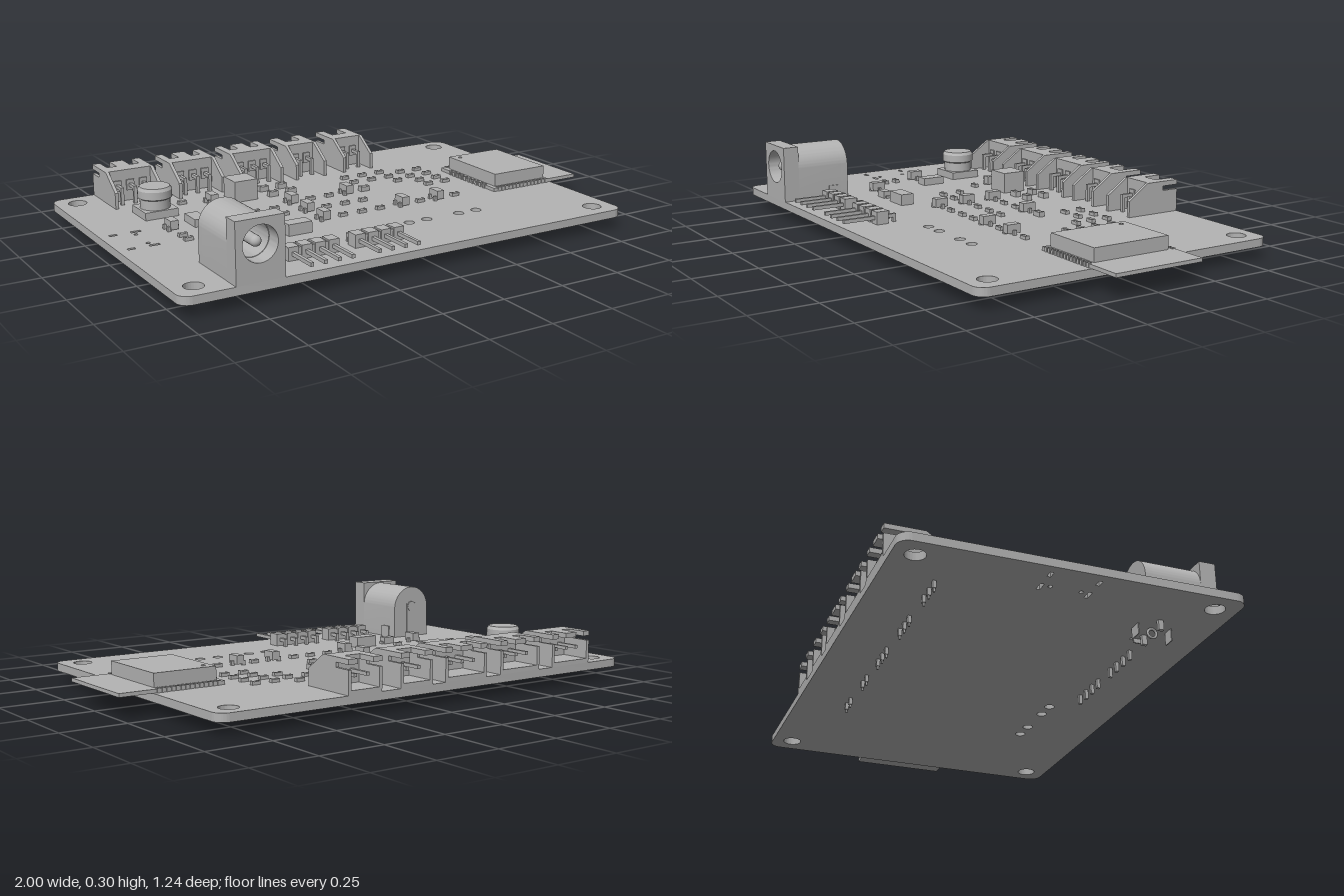
import * as THREE from 'three';
import { mergeGeometries, toCreasedNormals } from 'three/addons/utils/BufferGeometryUtils.js';

const gray = new THREE.MeshStandardMaterial({ color: 0xb3b3b3 });
gray.name = 'plain gray';
const TOP = 0.083; // upper face of the circuit board

// Box given by its minimum and maximum corners
function box(x0, x1, y0, y1, z0, z1) {
  return new THREE.BoxGeometry(x1 - x0, y1 - y0, z1 - z0)
    .translate((x0 + x1) / 2, (y0 + y1) / 2, (z0 + z1) / 2).toNonIndexed();
}
const onBoard = (x, z, w, d, h) => box(x - w / 2, x + w / 2, TOP, TOP + h, z - d / 2, z + d / 2);

function extrude(shape, depth) {
  return toCreasedNormals(new THREE.ExtrudeGeometry(shape, { depth, bevelEnabled: false, curveSegments: 24 }), 0.6);
}
// Outline in (x, z) made into a horizontal plate
const plate = (shape, y0, y1) => extrude(shape, y1 - y0).rotateX(Math.PI / 2).translate(0, y1, 0);
// Outline in (z, y) made into an upright wall
const wall = (shape, x0, x1) => extrude(shape, x1 - x0).rotateY(-Math.PI / 2).translate(x1, 0, 0);
const poly = pts => new THREE.Shape(pts.map(p => new THREE.Vector2(...p)));
const circle = (x, y, r) => new THREE.Path().absarc(x, y, r, 0, Math.PI * 2, true);
const slot = (x, z, w, d) => new THREE.Path([[-w, -d], [-w, d], [w, d], [w, -d]]
  .map(([a, b]) => new THREE.Vector2(x + a / 2, z + b / 2)));

function part(parent, name, geos) {
  const mesh = new THREE.Mesh(mergeGeometries(geos.map(g => (g.index ? g.toNonIndexed() : g))), gray);
  mesh.name = name;
  parent.add(mesh);
}

function circuitBoard(g) {
  const s = new THREE.Shape(), r = 0.045, x0 = -1, x1 = 0.87, z = 0.622;
  s.absarc(x1 - r, z - r, r, 0, Math.PI / 2);
  s.absarc(x0 + r, z - r, r, Math.PI / 2, Math.PI);
  s.absarc(x0 + r, r - z, r, Math.PI, Math.PI * 1.5);
  s.absarc(x1 - r, r - z, r, Math.PI * 1.5, Math.PI * 2);
  for (const x of [-0.917, 0.785]) for (const k of [-0.543, 0.537]) s.holes.push(circle(x, k, 0.036));
  for (const x of [0.06, 0.14, 0.288, 0.37]) s.holes.push(circle(x, 0.34, 0.02));
  for (const k of [-0.09, 0.085]) {
    s.holes.push(slot(-0.948, k, 0.03, 0.014), slot(-0.86, k, 0.04, 0.014));
  }
  for (const k of [-0.058, 0.055]) s.holes.push(circle(-0.872, k, 0.008));
  s.holes.push(slot(-0.613, 0.395, 0.012, 0.06));
  part(g, 'circuitBoard', [plate(s, 0.052, TOP)]);
}

// Side-entry socket, open to the rear, with bent pins
function socket(g, cx, n) {
  const w = n * 0.03 + 0.01 + (n === 2 ? 0.003 : 0), grp = new THREE.Group();
  grp.name = 'cableSocket';
  const side = poly([[-0.385, TOP], [-0.385, 0.147], [-0.475, 0.209], [-0.622, 0.209], [-0.622, 0.19],
    [-0.55, 0.19], [-0.55, 0.172], [-0.622, 0.172], [-0.622, TOP]]);
  // roof notched from its open edge
  const notches = n === 3 ? [-0.048, 0.048] : [0];
  const hw = n === 3 ? 0.02 : 0.034;
  const pts = [[w, -0.48], [-w, -0.48], [-w, -0.622]];
  for (const c of notches) pts.push([c - hw, -0.622], [c - hw, -0.545], [c + hw, -0.545], [c + hw, -0.622]);
  pts.push([w, -0.622]);
  part(grp, 'socketHousing', [
    wall(side, -w, -w + 0.013), wall(side, w - 0.013, w),
    plate(poly(pts), 0.19, 0.209),
    box(-w, w, TOP, 0.1, -0.622, -0.48),
    box(-w, w, TOP, 0.209, -0.505, -0.48),
  ]);
  const pins = [];
  for (let i = 0; i < n; i++) {
    const x = (i - (n - 1) / 2) * 0.054, p = 0.0065;
    pins.push(box(x - p, x + p, 0.14, 0.153, -0.6, -0.425), box(x - p, x + p, 0.025, 0.153, -0.438, -0.425),
      box(x - p / 2, x + p / 2, 0.012, 0.025, -0.435, -0.428),
      box(x - 0.016, x + 0.016, 0.125, 0.168, -0.48, -0.474));
  }
  part(grp, 'socketPins', pins);
  grp.position.x = cx;
  g.add(grp);
}

function pinHeader(g, cx) {
  const grp = new THREE.Group(), body = [], pins = [], p = 0.0065;
  grp.name = 'pinHeader';
  for (let i = 0; i < 4; i++) {
    const x = (i - 1.5) * 0.054;
    body.push(box(x - 0.021, x + 0.021, TOP, 0.133, 0.442, 0.492));
    pins.push(box(x - p, x + p, 0.101, 0.115, 0.402, 0.622), box(x - p, x + p, 0.015, 0.115, 0.402, 0.415));
  }
  body.push(box(-0.1, 0.1, 0.09, 0.127, 0.447, 0.487));
  part(grp, 'headerBody', body);
  part(grp, 'headerPins', pins);
  grp.position.x = cx;
  g.add(grp);
}

function powerJack(g) {
  const grp = new THREE.Group(), r = 0.092, cy = 0.21;
  grp.name = 'powerJack';
  const arch = () => {
    const s = new THREE.Shape();
    s.moveTo(-r, TOP - cy);
    s.lineTo(r, TOP - cy);
    s.absarc(0, 0, r, 0, Math.PI);
    return s;
  };
  const barrel = arch(), front = poly([[-r, TOP - cy], [r, TOP - cy], [r, 0.096], [-r, 0.096]]);
  barrel.holes.push(circle(0, 0.006, 0.064));
  front.holes.push(circle(0, 0.006, 0.066));
  part(grp, 'jackBody', [
    extrude(arch(), 0.03).translate(0, cy, 0.338),
    extrude(barrel, 0.19).translate(0, cy, 0.368),
    extrude(front, 0.064).translate(0, cy, 0.558),
  ]);
  part(grp, 'centerPin', [
    new THREE.CylinderGeometry(0.02, 0.02, 0.22, 20).rotateX(Math.PI / 2).translate(0, cy + 0.006, 0.475),
    new THREE.SphereGeometry(0.02, 20, 12).translate(0, cy + 0.006, 0.585),
    new THREE.CylinderGeometry(0.022, 0.022, 0.008, 20).rotateX(Math.PI / 2).translate(0, cy + 0.006, 0.335),
  ]);
  // solder tabs below the board
  part(grp, 'solderTabs', [
    box(-0.022, 0.022, 0.005, TOP, 0.463, 0.467),
    box(-0.025, 0.025, 0.01, 0.23, 0.333, 0.337),
    box(-0.07, -0.056, 0.015, TOP, 0.39, 0.41), box(0.056, 0.07, 0.015, TOP, 0.39, 0.41),
    box(0.092, 0.097, 0.035, 0.13, 0.375, 0.425),
    new THREE.TorusGeometry(0.017, 0.005, 8, 20).rotateY(Math.PI / 2).translate(0, 0.032, 0.4),
  ]);
  grp.position.x = -0.7125;
  g.add(grp);
}

function radioModule(g) {
  const grp = new THREE.Group(), pads = [];
  grp.name = 'radioModule';
  part(grp, 'moduleBoard', [box(0.58, 1, TOP, 0.097, -0.19, 0.18)]);
  part(grp, 'moduleShield', [box(0.6, 0.852, 0.097, 0.148, -0.163, 0.158)]);
  for (let i = 0; i < 14; i++) {
    const x = 0.605 + i * 0.0187;
    for (const z of [-0.186, 0.176]) pads.push(box(x - 0.006, x + 0.006, TOP, 0.1, z - 0.007, z + 0.007));
  }
  for (let i = 0; i < 10; i++) {
    const z = -0.12 + i * 0.026;
    pads.push(box(0.575, 0.59, TOP, 0.1, z - 0.006, z + 0.006));
  }
  part(grp, 'modulePads', pads);
  part(grp, 'shieldMark', [new THREE.CylinderGeometry(0.008, 0.008, 0.004, 16).translate(0.633, 0.149, -0.127)]);
  g.add(grp);
}

function inductor(g) {
  const prof = [[0, 0.085], [0.058, 0.085], [0.058, 0.15], [0.066, 0.155], [0.066, 0.185], [0.058, 0.197], [0, 0.197]];
  const can = new THREE.LatheGeometry(prof.map(p => new THREE.Vector2(...p)), 32).translate(-0.711, 0, -0.253);
  part(g, 'inductor', [toCreasedNormals(can, 0.5), onBoard(-0.711, -0.253, 0.135, 0.13, 0.03)]);
}

// Three-legged transistor, turned a quarter when asked
function transistor(g, x, z, turned) {
  const geo = mergeGeometries([
    box(-0.016, 0.016, 0.006, 0.04, -0.028, 0.028),
    box(-0.026, -0.012, 0, 0.018, -0.024, -0.012), box(-0.026, -0.012, 0, 0.018, 0.012, 0.024),
    box(0.012, 0.026, 0, 0.018, -0.006, 0.006),
  ]);
  if (turned) geo.rotateY(Math.PI / 2);
  part(g, 'transistor', [geo.translate(x, TOP, z)]);
}

export function createModel() {
  const g = new THREE.Group();
  g.name = 'controllerBoard';
  circuitBoard(g);
  for (const [x, n] of [[-0.72, 3], [-0.451, 3], [-0.181, 3], [0.052, 2], [0.282, 2]]) socket(g, x, n);
  for (const x of [-0.438, -0.168]) pinHeader(g, x);
  powerJack(g);
  radioModule(g);
  inductor(g);
  part(g, 'squareChip', [onBoard(-0.335, -0.275, 0.1, 0.1, 0.084)]);
  part(g, 'capacitor', [onBoard(-0.627, -0.067, 0.052, 0.095, 0.03)]);
  part(g, 'diode', [onBoard(-0.358, 0.226, 0.098, 0.054, 0.044)]);
  part(g, 'smallDiode', [onBoard(-0.494, 0.233, 0.052, 0.032, 0.028), onBoard(-0.494, 0.233, 0.068, 0.016, 0.01)]);
  for (const [x, z] of [[-0.195, -0.11], [-0.195, 0.015], [-0.195, 0.14], [0.057, -0.11], [0.16, 0.14],
    [0.325, 0.14], [-0.735, -0.047], [-0.463, -0.275], [-0.61, 0.205]]) transistor(g, x, z, false);

  // Rows of little two-ended parts: z, then every x in the row
  const rows = [[-0.32, -0.57], [-0.19, -0.465], [-0.295, 0.16, 0.245, 0.33], [-0.22, 0.16, 0.245, 0.33],
    [-0.15, 0.33], [-0.255, 0.412, 0.495], [-0.18, 0.412, 0.495], [-0.11, 0.412, 0.495, -0.11, -0.025],
    [-0.045, 0.412, 0.495], [-0.065, -0.38, -0.295], [0.015, -0.38, -0.295, -0.11, -0.025, 0.057],
    [0.14, -0.11, -0.025, 0.057, 0.245, 0.412], [0.05, -0.735], [0.1, -0.735], [0.16, -0.495]];
  const chips = [];
  const chip = (x, z, w, d, h) => chips.push(onBoard(x, z, w * 0.6, d, h - 0.002),
    onBoard(x - w * 0.4, z, w * 0.2, d, h), onBoard(x + w * 0.4, z, w * 0.2, d, h));
  for (const [z, ...xs] of rows) for (const x of xs) chip(x, z, 0.034, 0.018, 0.014);
  for (const z of [-0.317, -0.235]) for (const x of [-0.213, -0.13]) chip(x, z, 0.04, 0.024, 0.022);
  chip(0.14, -0.11, 0.04, 0.024, 0.02);
  part(g, 'surfaceChips', chips);
  return g;
}
